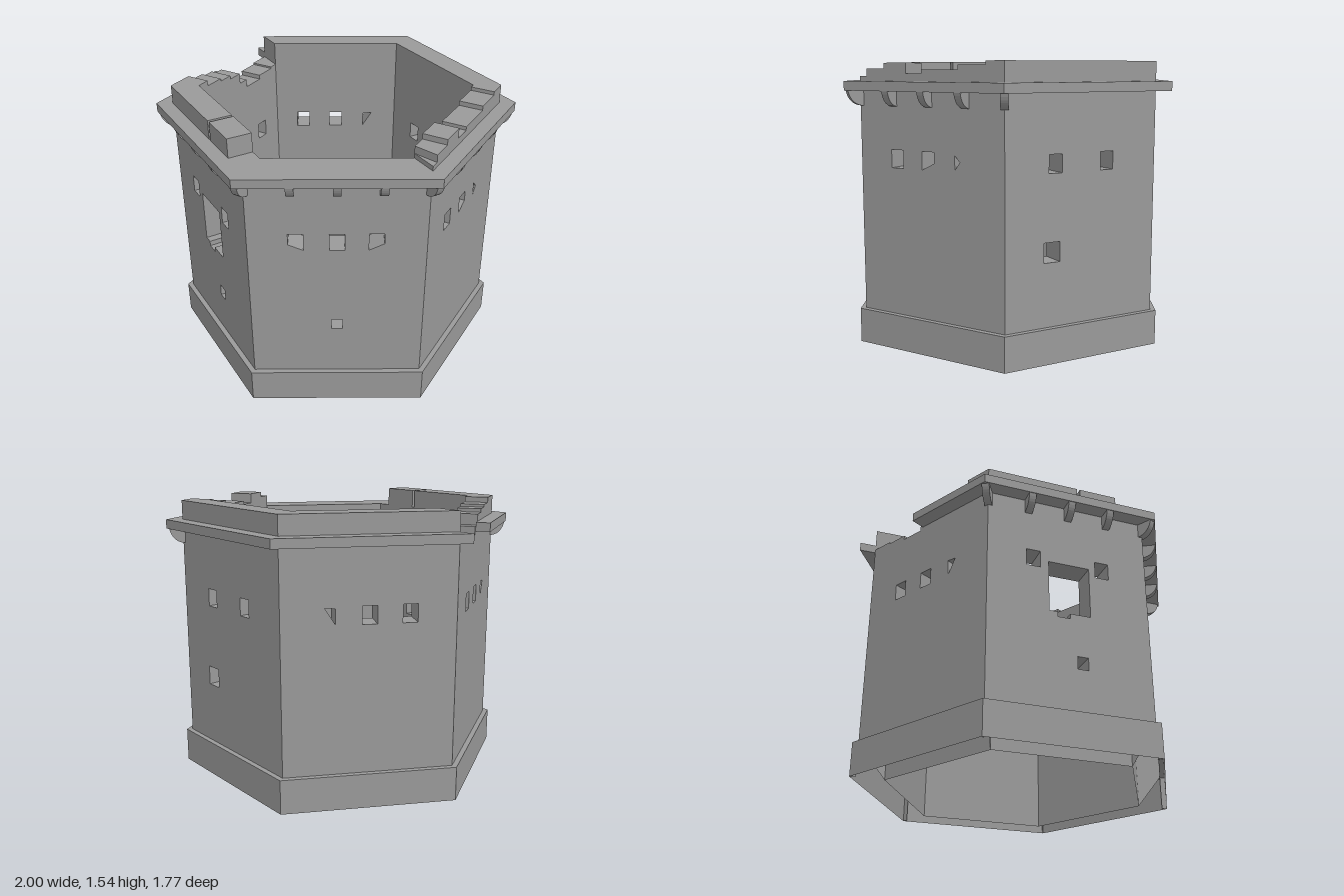
import * as THREE from 'three';

const R = 0.908;                        // hexagon radius = side length of the wall
const APOTHEM = R * Math.cos(Math.PI / 6);
const INNER = 0.83;                     // inner hexagon relative to outer
const THICK = APOTHEM * (1 - INNER);
const TURN = THREE.MathUtils.degToRad(-2.5);
const PLINTH_TOP = 0.19, LEDGE_Y = 1.39, LEDGE_TOP = 1.44, TOP = 1.545;

const color = 0x9a9a9a;
const mat = new THREE.MeshStandardMaterial({ color, flatShading: true, side: THREE.DoubleSide });
const roundMat = new THREE.MeshStandardMaterial({ color });

function part(name, geometry, material = mat) {
  const mesh = new THREE.Mesh(geometry, material);
  mesh.name = name;
  return mesh;
}

const shapeOf = pts => new THREE.Shape(pts.map(p => new THREE.Vector2(p[0], p[1])));
const alongFace = t => (t - 0.5) * R;

// Leaves out every triangle whose three corners all pass the test
function openFaces(geo, test) {
  const pos = geo.attributes.position, kept = [];
  for (let i = 0; i < pos.count; i += 3) {
    const tri = [0, 1, 2].map(k => new THREE.Vector3().fromBufferAttribute(pos, i + k));
    if (!tri.every(test)) tri.forEach(p => kept.push(p));
  }
  const open = new THREE.BufferGeometry().setFromPoints(kept);
  open.computeVertexNormals();
  return open;
}

// Window outlines inside a unit box
const SQUARE = [[-1, -1], [1, -1], [1, 1], [-1, 1]];
const CLIPPED_LEFT = [[-1, -0.3], [1, -1], [1, 1], [-1, 1]];
const CLIPPED_RIGHT = [[-1, -1], [1, -0.2], [1, 1], [-1, 1]];
const TRI_LEFT = [[-0.6, -0.8], [0.2, 0.1], [-0.6, 0.8]];
const TRI_TOP = [[-0.6, -0.9], [0.6, 0.8], [-0.8, 0.9]];
const TRI_RIGHT = [[0.6, -0.9], [0.6, 0.8], [-0.8, 0.9]];
const win = (t, outline = SQUARE, y = 1.035, w = 0.078, h = 0.096) => ({ t, outline, y, w, h });

// Faces in order, turning from the front towards the model's left.
// skyline: [end of step along the face, height of step]
const FACES = [
  {
    name: 'frontWall', corbels: true, skyline: [[1, LEDGE_TOP]],
    holes: [win(0.27, CLIPPED_LEFT), win(0.5), win(0.72, CLIPPED_RIGHT), win(0.5, SQUARE, 0.51, 0.06, 0.06)],
  },
  {
    name: 'frontLeftWall', corbels: true,
    skyline: [[0.05, 1.465], [0.18, 1.505], [0.34, 1.535], [0.45, 1.48], [0.7, 1.5], [0.88, 1.525], [1, TOP]],
    holes: [win(0.27), win(0.49, CLIPPED_RIGHT), win(0.7, TRI_LEFT)],
  },
  {
    name: 'backLeftWall', skyline: [[1, TOP]],
    holes: [win(0.32), win(0.66), win(0.3, SQUARE, 0.582, 0.095, 0.105)],
  },
  {
    name: 'backWall', skyline: [[1, TOP]],
    holes: [win(0.28, TRI_RIGHT), win(0.5), win(0.73)],
  },
  {
    name: 'backRightWall', ledgeStart: 0.45,
    skyline: [[0.14, 1.41], [0.28, 1.4], [0.43, 1.375], [0.5, 1.42], [0.6, 1.48], [0.7, 1.5], [0.83, 1.515], [1, TOP]],
    holes: [win(0.28), win(0.5), win(0.72, TRI_TOP)],
  },
  {
    name: 'frontRightWall', corbels: true,
    skyline: [[0.57, TOP], [0.59, LEDGE_TOP], [0.83, TOP], [1, LEDGE_TOP]],
    holes: [win(0.28), win(0.71), win(0.57, SQUARE, 0.465, 0.06, 0.07),
      { t: 0.5, y: 0.87, w: 0.23, h: 0.32,
        outline: [[-1, -0.82], [-0.6, -0.82], [-0.6, -1], [0, -1], [0, -0.82], [1, -0.82], [1, 1], [-1, 1]] }],
  },
];

// Hollow wall with a broken skyline and openings, mitred at both ends, open below;
// its outer skin starts at the top of the plinth
function wallGeometry({ skyline, holes }) {
  const pts = [[R / 2, 0]];
  [...skyline].reverse().forEach(([end, y], i, list) => {
    const start = i + 1 < list.length ? list[i + 1][0] : 0;
    pts.push([alongFace(end), y], [alongFace(start), y]);
  });
  pts.push([-R / 2, 0]);
  const shape = shapeOf(pts);
  for (const { t, outline, y, w, h } of holes) {
    shape.holes.push(new THREE.Path(outline.map(([u, v]) =>
      new THREE.Vector2(alongFace(t) + u * w / 2, y + v * h / 2))));
  }
  const geo = new THREE.ExtrudeGeometry(shape, { depth: THICK, bevelEnabled: false });
  geo.translate(0, 0, -THICK);
  const pos = geo.attributes.position, half = R * INNER / 2;
  for (let i = 0; i < pos.count; i++) {
    if (pos.getZ(i) < -THICK / 2) pos.setX(i, THREE.MathUtils.clamp(pos.getX(i), -half, half));
    else if (pos.getY(i) < PLINTH_TOP) pos.setY(i, PLINTH_TOP);
  }
  return openFaces(geo, p => p.y < PLINTH_TOP + 0.001).translate(0, 0, APOTHEM);
}

// Mitred strip running along one face, outside the wall
function bandGeometry(outer, y0, y1, start) {
  const zi = APOTHEM, zo = APOTHEM * outer;
  const left = start === undefined ? [-R / 2, -R * outer / 2] : [alongFace(start), alongFace(start)];
  const shape = shapeOf([[left[1], -zo], [R * outer / 2, -zo], [R / 2, -zi], [left[0], -zi]]);
  return new THREE.ExtrudeGeometry(shape, { depth: y1 - y0, bevelEnabled: false })
    .rotateX(-Math.PI / 2).translate(0, y0, 0);
}

// Plinth skin: front and top only, so the foot stays hollow
function plinthGeometry() {
  const band = bandGeometry(1.036, 0, PLINTH_TOP);
  const noBack = openFaces(band, p => p.z < APOTHEM + 0.001);
  return openFaces(noBack, p => p.y < 0.001);
}

// Quarter-round bracket under the ledge
function corbelGeometry() {
  const reach = 0.075, w = 0.04;
  const s = new THREE.Shape();
  s.moveTo(-0.03, 0);
  s.lineTo(-0.03, -0.08);
  s.lineTo(0, -0.08);
  s.quadraticCurveTo(reach * 0.8, -0.07, reach, 0);
  s.closePath();
  return new THREE.ExtrudeGeometry(s, { depth: w, bevelEnabled: false, curveSegments: 8 })
    .translate(0, 0, -w / 2).rotateY(-Math.PI / 2);
}

export function createModel() {
  const tower = new THREE.Group();
  tower.name = 'hexagonalTower';
  const corbelGeo = corbelGeometry(), plinthGeo = plinthGeometry();

  FACES.forEach((face, i) => {
    const side = new THREE.Group();
    side.name = face.name + 'Side';
    side.rotation.y = TURN + i * Math.PI / 3;
    side.add(part(face.name, wallGeometry(face)));
    side.add(part('basePlinth', plinthGeo));
    side.add(part('ledge', bandGeometry(1.1, LEDGE_Y, LEDGE_TOP, face.ledgeStart)));
    if (face.corbels) {
      for (const t of [0.25, 0.5, 0.75]) {
        const corbel = part('corbel', corbelGeo, roundMat);
        corbel.position.set(alongFace(t), LEDGE_Y, APOTHEM);
        side.add(corbel);
      }
    }
    tower.add(side);
  });

  // Corner corbels around the three front faces
  for (const k of [-1.5, -0.5, 0.5, 1.5]) {
    const angle = TURN + k * Math.PI / 3;
    const corbel = part('cornerCorbel', corbelGeo, roundMat);
    corbel.rotation.y = angle;
    corbel.position.set(Math.sin(angle) * R, LEDGE_Y, Math.cos(angle) * R);
    tower.add(corbel);
  }
  return tower;
}
